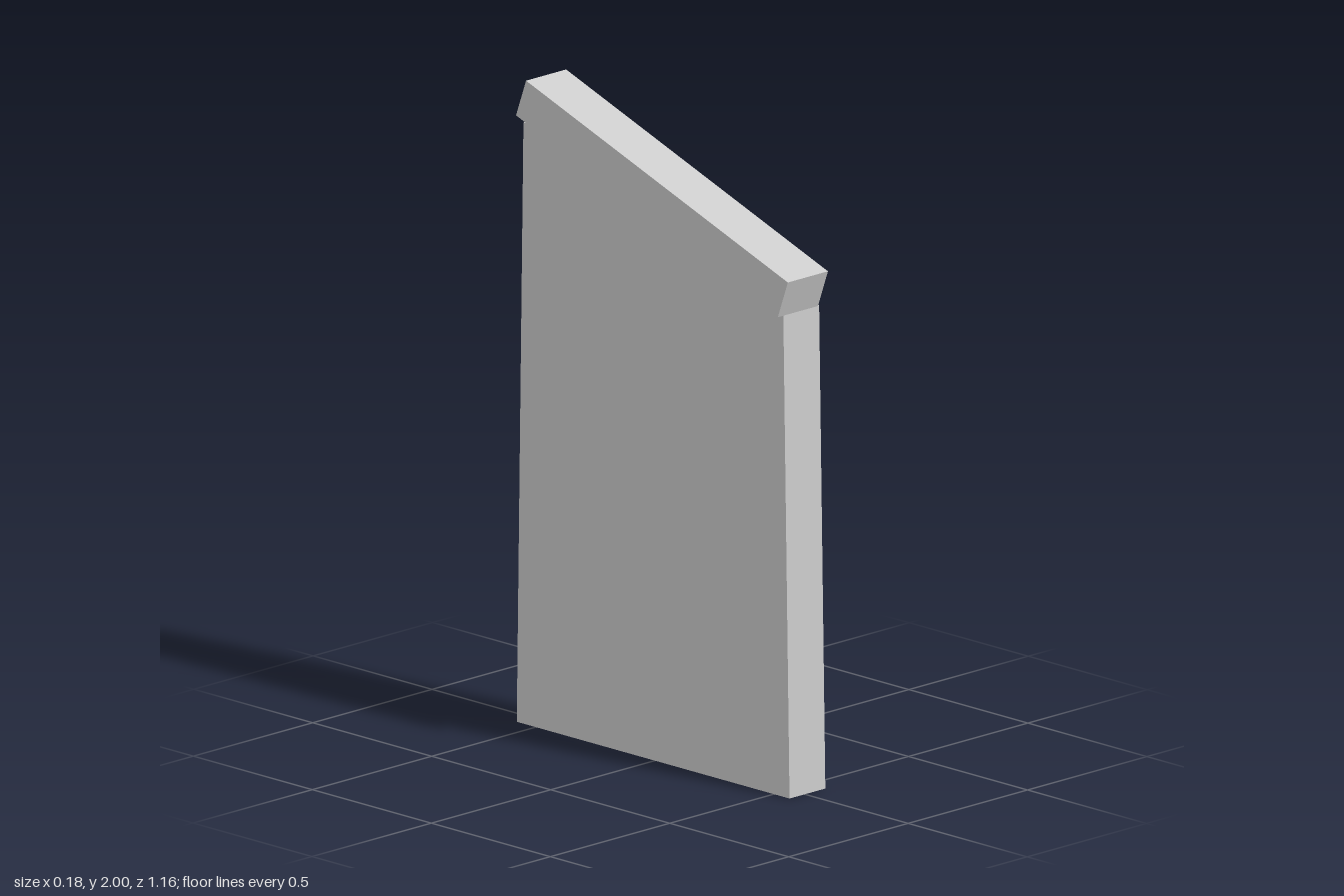
import * as THREE from 'three';

const material = new THREE.MeshStandardMaterial({ color: 0xcccccc, flatShading: true });

// Extrude a side outline of [z, y] points between two x positions
function slab(name, outline, xMin, xMax) {
  const shape = new THREE.Shape(outline.map(([z, y]) => new THREE.Vector2(z, y)));
  const geometry = new THREE.ExtrudeGeometry(shape, { depth: xMax - xMin, bevelEnabled: false });
  geometry.rotateY(-Math.PI / 2).translate(xMax, 0, 0);
  const mesh = new THREE.Mesh(geometry, material);
  mesh.name = name;
  return mesh;
}

export function createModel() {
  const group = new THREE.Group();
  group.name = 'slopedWall';
  const outer = -0.064, inner = 0.086;

  // Leaning posts at the two ends
  group.add(slab('frontPost', [[0.497, 0], [0.566, 0], [0.54, 1.488], [0.463, 1.517]], outer, inner));
  group.add(slab('backPost', [[-0.58, 0], [-0.511, 0], [-0.482, 1.858], [-0.552, 1.858]], outer, inner));

  // Thin panel between the posts, flush with their outer side
  group.add(slab('panel', [[-0.511, 0], [0.497, 0], [0.463, 1.517], [-0.482, 1.858]], outer, -0.016));

  // Sloping beam on top
  group.add(slab('topBeam', [[0.543, 1.488], [0.585, 1.604], [-0.515, 2], [-0.557, 1.884]], -0.09, 0.078));

  return group;
}
